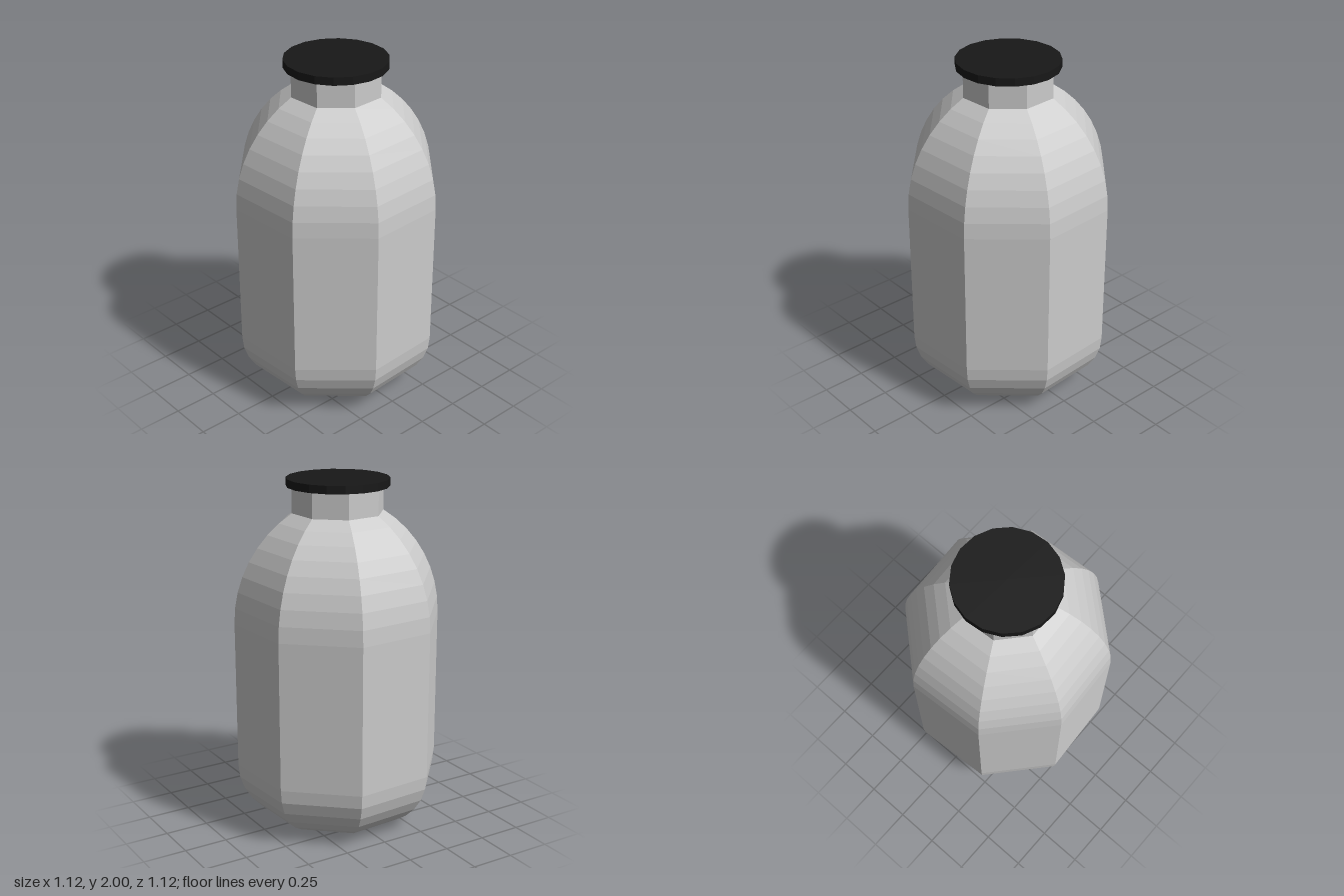
import * as THREE from 'three';

const deg = THREE.MathUtils.degToRad;

// Points along a circular arc of the profile, from angle a to angle b in degrees
function arc(cx, cy, r, a, b, steps) {
  return Array.from({ length: steps + 1 }, (_, i) => {
    const t = deg(a + ((b - a) * i) / steps);
    return new THREE.Vector2(cx + r * Math.cos(t), cy + r * Math.sin(t));
  });
}

export function createModel() {
  const model = new THREE.Group();
  model.name = 'bottle';
  const glass = new THREE.MeshStandardMaterial({ color: 0xcccccc, flatShading: true });
  const black = new THREE.MeshStandardMaterial({ color: 0x181818, flatShading: true });
  const add = (name, geometry, material) => {
    const mesh = new THREE.Mesh(geometry, material);
    mesh.name = name;
    model.add(mesh);
    return mesh;
  };
  const turn = deg(26); // the octagon is turned slightly off the axes

  // Eight-sided body: flat base, rounded foot, straight wall, domed shoulder
  const profile = [
    new THREE.Vector2(0, 0),
    ...arc(0.242, 0.35, 0.35, -90, 0, 7),
    ...arc(-0.134, 1.2, 0.726, 0, 57.2, 8),
  ];
  add('body', new THREE.LatheGeometry(profile, 8, turn), glass);

  // Eight-sided neck, in line with the body's edges
  const neck = add('neck', new THREE.CylinderGeometry(0.26, 0.26, 0.16, 8, 1, true, turn), glass);
  neck.position.y = 1.89;

  // Flat lid
  const lid = add('lid', new THREE.CylinderGeometry(0.288, 0.288, 0.045, 18, 1, false, deg(16)), black);
  lid.position.y = 1.9775;

  return model;
}
